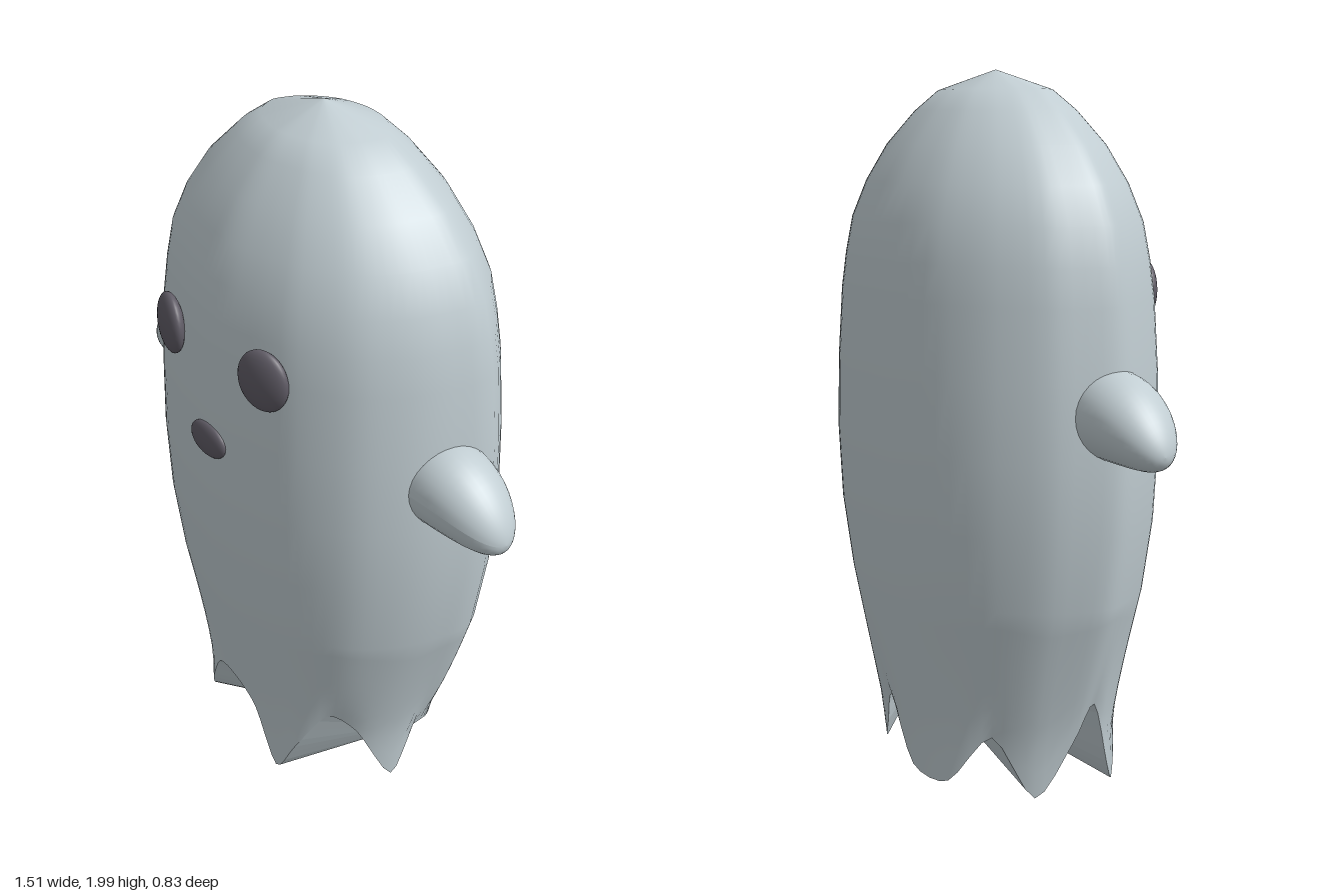
import * as THREE from 'three';

const sheet = new THREE.MeshStandardMaterial({ name: 'paleGreySheet', color: 0xc1cdd2, side: THREE.DoubleSide });
const dark = new THREE.MeshStandardMaterial({ name: 'darkFace', color: 0x605c66 });

// widest cross-section of the sheet, [x, z], from the front towards +x
const outline = [
  [0, 0.397], [0.27, 0.35], [0.43, 0.255], [0.52, 0.13], [0.56, 0], [0.565, -0.12], [0.43, -0.27], [0.23, -0.375],
  [0, -0.415], [-0.22, -0.385], [-0.38, -0.3], [-0.5, -0.18], [-0.545, -0.08], [-0.567, 0.04], [-0.46, 0.22], [-0.28, 0.335],
];
// height, x scale, z scale
const profile = [
  [2, 0, 0], [1.945, 0.35, 0.35], [1.89, 0.5, 0.49], [1.8, 0.68, 0.66], [1.7, 0.815, 0.79], [1.6, 0.9, 0.885],
  [1.5, 0.94, 0.93], [1.4, 0.968, 0.96], [1.2, 0.993, 0.99], [1, 1, 1], [0.8, 0.977, 0.98], [0.6, 0.918, 0.92],
  [0.4, 0.81, 0.84], [0.2, 0.7, 0.76], [0, 0.64, 0.7],
];
// ragged hem, [x, y, z]
const hemPoints = [
  [-0.03, 0.27, 0.31], [0.05, 0.2, 0.3], [0.12, 0.01, 0.28], [0.2, 0.13, 0.27], [0.29, 0.28, 0.22], [0.34, 0.22, 0.15],
  [0.38, 0.03, 0.05], [0.385, 0.18, -0.03], [0.33, 0.12, -0.13], [0.24, 0.06, -0.23], [0.16, 0.14, -0.27],
  [0.1, 0.24, -0.29], [-0.04, 0.08, -0.3], [-0.2, 0.08, -0.28], [-0.3, 0.22, -0.2], [-0.36, 0.045, -0.1],
  [-0.4, 0.2, 0], [-0.41, 0.3, 0.06], [-0.36, 0.1, 0.14], [-0.3, 0.02, 0.2], [-0.24, 0.1, 0.25], [-0.14, 0.25, 0.29],
];
const FOLD_TOP = 0.6;
const STEPS = 4;

const closedCurve = (points) => new THREE.CatmullRomCurve3(points, true, 'catmullrom', 0.4);
const outlinePoints = closedCurve(outline.map(([x, z]) => new THREE.Vector3(x, 0, z))).getPoints(320);

// distance from the axis to the outline in direction a
function outlineRadius(a) {
  const dx = Math.sin(a), dz = Math.cos(a);
  for (let i = 0; i < outlinePoints.length - 1; i++) {
    const p = outlinePoints[i], q = outlinePoints[i + 1];
    const cp = p.x * dz - p.z * dx, cq = q.x * dz - q.z * dx;
    if (cp <= 0 && cq >= 0 && p.x * dx + p.z * dz > 0) {
      const t = cq === cp ? 0 : -cp / (cq - cp);
      return Math.hypot(p.x + (q.x - p.x) * t, p.z + (q.z - p.z) * t);
    }
  }
  return 0.45;
}

function scaleAt(y) {
  let i = 0;
  while (i < profile.length - 2 && profile[i + 1][0] > y) i++;
  const [y0, x0, z0] = profile[i], [y1, x1, z1] = profile[i + 1];
  const t = (y0 - y) / (y0 - y1);
  return [x0 + (x1 - x0) * t, z0 + (z1 - z0) * t];
}

function geometryFrom(positions, index) {
  const g = new THREE.BufferGeometry();
  g.setAttribute('position', new THREE.Float32BufferAttribute(positions, 3));
  if (index) g.setIndex(index);
  g.computeVertexNormals();
  return g;
}

function createSheet() {
  const group = new THREE.Group();
  group.name = 'body';
  const n = hemPoints.length * STEPS;
  const hem = closedCurve(hemPoints.map((p) => new THREE.Vector3(...p))).getPoints(n).slice(0, n);
  const columns = hem.map((h) => {
    const [sx, sz] = scaleAt(h.y);
    const a = Math.atan2(h.x / sx, h.z / sz);
    return { h, a, r: outlineRadius(a) };
  });
  const section = ({ a, r }, y) => {
    const [sx, sz] = scaleAt(y);
    return new THREE.Vector3(r * sx * Math.sin(a), y, r * sz * Math.cos(a));
  };

  // smooth rings above, then rings that blend into the hem
  const positions = [], index = [];
  const upper = profile.map((p) => p[0]).filter((y) => y >= FOLD_TOP);
  for (const y of upper) for (const c of columns) positions.push(...section(c, y).toArray());
  const lower = 8;
  for (let k = 1; k <= lower; k++) {
    const t = k / lower;
    for (const c of columns) {
      const p = section(c, FOLD_TOP + (c.h.y - FOLD_TOP) * t);
      const shift = c.h.clone().sub(section(c, c.h.y));
      positions.push(...p.addScaledVector(shift, t * t * t).toArray());
    }
  }
  for (let r = 0; r < upper.length + lower - 1; r++) {
    for (let i = 0; i < n; i++) {
      const j = (i + 1) % n;
      const a = r * n + i, b = r * n + j, c = a + n, d = b + n;
      index.push(a, c, b, b, c, d);
    }
  }
  const cloth = new THREE.Mesh(geometryFrom(positions, index), sheet);
  cloth.name = 'sheet';

  // flat underside fanned from one notch of the hem
  const fan = [], apex = 7 * STEPS;
  for (let k = 1; k < n - 1; k++) {
    const p = hem[(apex + k) % n], q = hem[(apex + k + 1) % n];
    fan.push(...hem[apex].toArray(), ...q.toArray(), ...p.toArray());
  }
  const underside = new THREE.Mesh(geometryFrom(fan), sheet);
  underside.name = 'underside';
  group.add(cloth, underside);
  return group;
}

// stubby rounded arm that droops towards its tip
function createArm(side) {
  const profilePoints = [new THREE.Vector2(0.118, -0.06)];
  for (let i = 0; i <= 14; i++) {
    const a = (i / 14) * Math.PI / 2;
    profilePoints.push(new THREE.Vector2(0.118 * Math.cos(a), 0.225 * Math.sin(a)));
  }
  const g = new THREE.LatheGeometry(profilePoints, 32);
  g.rotateZ(-side * Math.PI / 2);
  const p = g.attributes.position;
  for (let i = 0; i < p.count; i++) {
    const s = Math.max(0, side * p.getX(i) / 0.225);
    p.setY(i, p.getY(i) - 0.075 * s * s);
  }
  g.computeVertexNormals();
  const arm = new THREE.Mesh(g, sheet);
  arm.name = side > 0 ? 'leftArm' : 'rightArm';
  arm.position.set(side * 0.53, 1.122, 0.018);
  return arm;
}

function createSpot(name, position, size, yaw) {
  const spot = new THREE.Mesh(new THREE.SphereGeometry(1, 28, 18), dark);
  spot.name = name;
  spot.position.set(...position);
  spot.scale.set(...size);
  spot.rotation.y = yaw;
  return spot;
}

export function createModel() {
  const model = new THREE.Group();
  model.name = 'ghost';
  model.add(createSheet());
  for (const side of [1, -1]) {
    model.add(createArm(side));
    model.add(createSpot(side > 0 ? 'leftEye' : 'rightEye', [side * 0.205, 1.4, 0.359], [0.078, 0.086, 0.03], side * 0.28));
  }
  model.add(createSpot('mouth', [0, 1.145, 0.393], [0.075, 0.05, 0.02], 0));
  return model;
}
